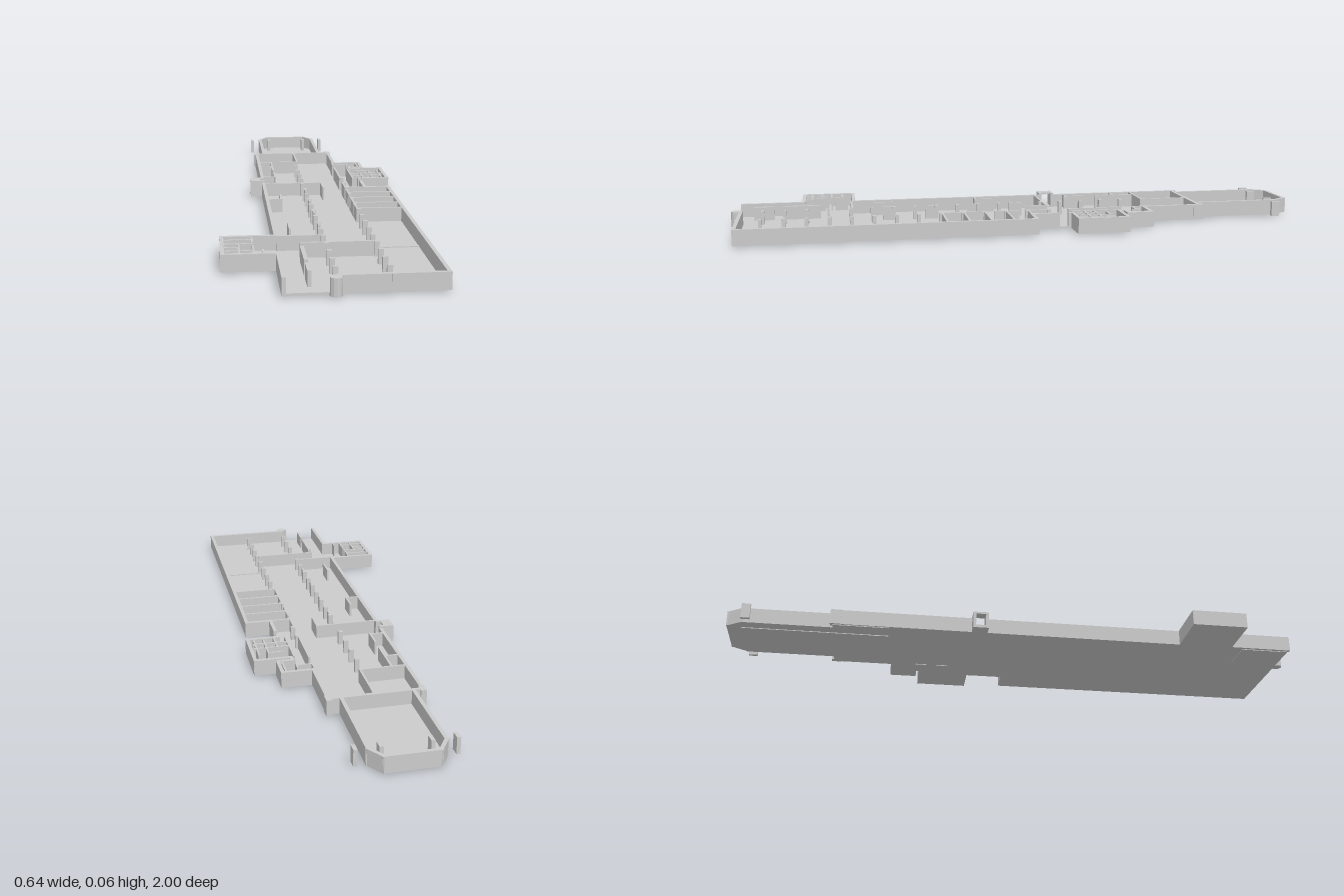
import * as THREE from 'three';

const FLOOR = 0.01, TOP = 0.057, BASE = 0.004, T = 0.012;

export function createModel() {
  const model = new THREE.Group();
  const mat = new THREE.MeshStandardMaterial({ color: 0xcccccc, flatShading: true, side: THREE.DoubleSide });

  const group = (name) => {
    const g = new THREE.Group();
    g.name = name;
    model.add(g);
    return g;
  };
  const box = (parent, name, x1, x2, y1, y2, z1, z2) => {
    const m = new THREE.Mesh(new THREE.BoxGeometry(x2 - x1, y2 - y1, z2 - z1), mat);
    m.position.set((x1 + x2) / 2, (y1 + y2) / 2, (z1 + z2) / 2);
    m.name = name;
    parent.add(m);
    return m;
  };
  // Upright wall whose centre line runs between two plan points
  const wall = (parent, name, x1, z1, x2, z2, t = T, top = TOP, bottom = BASE) => {
    const len = Math.hypot(x2 - x1, z2 - z1);
    const m = new THREE.Mesh(new THREE.BoxGeometry(len + t * 0.9, top - bottom, t), mat);
    m.position.set((x1 + x2) / 2, (top + bottom) / 2, (z1 + z2) / 2);
    m.rotation.y = -Math.atan2(z2 - z1, x2 - x1);
    m.name = name;
    parent.add(m);
  };
  const slab = (name, pts, y1, y2) => {
    const shape = new THREE.Shape(pts.map(([x, z]) => new THREE.Vector2(x, -z)));
    const geo = new THREE.ExtrudeGeometry(shape, { depth: y2 - y1, bevelEnabled: false });
    geo.rotateX(-Math.PI / 2).translate(0, y1, 0);
    const m = new THREE.Mesh(geo, mat);
    m.name = name;
    model.add(m);
  };

  // Floor plates
  slab('mainFloor', [
    [-0.16, -0.64], [0.15, -0.64], [0.15, -0.435], [0.25, -0.435], [0.25, -0.34], [0.19, -0.34],
    [0.19, -0.33], [0.32, -0.33], [0.32, -0.15], [0.215, -0.15], [0.215, -0.02], [0.3, -0.02],
    [0.3, 0.97], [-0.165, 0.97], [-0.165, 0.76], [-0.325, 0.76], [-0.325, 0.57], [-0.16, 0.57],
  ], BASE, FLOOR);
  slab('rearFloor', [
    [-0.13, -0.64], [-0.13, -0.945], [-0.095, -0.998], [0.075, -0.998], [0.11, -0.945], [0.11, -0.64],
  ], BASE, FLOOR);

  // Thin plates under the floor
  const plates = group('undersidePlates');
  for (const [x1, x2, z1, z2] of [[-0.09, 0.065, -0.95, -0.45], [0.135, 0.18, -0.345, -0.305],
    [0.135, 0.18, -0.27, -0.23], [-0.155, -0.1, -0.64, -0.45], [-0.155, -0.04, 0.8, 0.965]])
    box(plates, 'undersidePlate', x1, x2, 0.0015, BASE, z1, z2);
  box(plates, 'undersideStrip', -0.09, 0.065, 0, BASE, -0.5, -0.49);

  // Outer walls, each run as a polyline of centre points
  const outer = group('outerWalls');
  const runs = [
    [[-0.124, -0.64], [-0.124, -0.943], [-0.092, -0.992], [0.072, -0.992], [0.104, -0.943], [0.104, -0.64]],
    [[-0.154, 0.576], [-0.154, -0.115]],
    [[-0.154, -0.165], [-0.154, -0.635], [0.144, -0.635], [0.144, -0.429], [0.244, -0.429], [0.244, -0.346],
      [0.196, -0.346], [0.196, -0.324], [0.314, -0.324], [0.314, -0.156], [0.209, -0.156], [0.209, -0.145]],
    [[0.209, -0.105], [0.209, -0.014], [0.294, -0.014], [0.294, 0.964], [-0.01, 0.964]],
    [[-0.159, 0.97], [-0.159, 0.754], [-0.319, 0.754], [-0.319, 0.576], [-0.154, 0.576]],
  ];
  for (const run of runs)
    for (let i = 1; i < run.length; i++) wall(outer, 'outerWall', ...run[i - 1], ...run[i]);
  for (const x of [-0.154, 0.144]) box(outer, 'cornerStub', x - 0.009, x + 0.009, BASE, TOP, -0.65, -0.615);

  // Entrance beside the open front corner
  const entry = group('entrance');
  const drum = new THREE.Mesh(new THREE.CylinderGeometry(0.018, 0.018, TOP - BASE, 12), mat);
  drum.position.set(-0.018, (TOP + BASE) / 2, 0.98);
  drum.name = 'entranceDrum';
  entry.add(drum);
  wall(entry, 'entranceWall', -0.085, 0.7, -0.085, 0.82);
  wall(entry, 'entranceWall', -0.085, 0.86, -0.085, 0.92);

  // Raised open passage on the right side
  const passage = group('sidePassage');
  for (const z of [-0.162, -0.118]) box(passage, 'passageSide', -0.2, -0.148, BASE, 0.063, z - 0.005, z + 0.005);
  box(passage, 'passageRoof', -0.2, -0.165, 0.056, 0.063, -0.167, -0.113);
  box(passage, 'passageFloor', -0.2, -0.15, BASE, 0.014, -0.167, -0.113);

  // Interior partitions: x1, z1, x2, z2
  const inner = group('partitions');
  const partitions = [
    [-0.15, -0.465, 0, -0.465], [0, -0.63, 0, -0.465],
    [-0.105, -0.46, -0.105, -0.32], [-0.105, -0.27, -0.105, -0.2], [-0.15, -0.385, -0.105, -0.385],
    [-0.15, -0.205, -0.105, -0.205],
    [-0.15, -0.095, 0.058, -0.095], [0.058, -0.095, 0.058, -0.02],
    [-0.15, 0.135, -0.105, 0.135], [-0.105, 0.07, -0.105, 0.135],
    [-0.105, 0.44, -0.105, 0.51], [-0.15, 0.585, -0.02, 0.585], [-0.085, 0.66, 0.135, 0.66],
    [0.138, -0.43, 0.138, -0.39], [0.138, -0.34, 0.138, -0.16],
    [0.138, -0.09, 0.138, -0.01], [0.138, 0.02, 0.138, 0.1], [0.138, 0.13, 0.138, 0.28],
    [0.138, -0.014, 0.21, -0.014],
  ];
  for (const z of [0.062, 0.137, 0.21, 0.284]) partitions.push([0.138, z, 0.29, z]);
  for (const p of partitions) wall(inner, 'partition', ...p, 0.007);
  box(inner, 'floorSill', 0.14, 0.288, FLOOR, 0.013, 0.58, 0.588);

  // Two rows of columns, with short panels beside some of them
  const columns = group('columns');
  for (let i = 0; i < 19; i++) {
    const z = -0.387 + i * 0.0752;
    box(columns, 'column', -0.018, -0.002, FLOOR, TOP, z - 0.006, z + 0.006);
    if (i > 2) box(columns, 'column', 0.134, 0.15, FLOOR, TOP, z - 0.006, z + 0.006);
    if (i > 4 && i < 12 && i % 2) wall(columns, 'columnPanel', -0.01, z, -0.01, z + 0.035, 0.007);
  }

  // Small rooms and stair cores in the annexes
  const annex = group('annexRooms');
  for (const p of [
    [0.185, -0.235, 0.31, -0.235], [0.185, -0.2, 0.3, -0.2], [0.262, -0.275, 0.262, -0.17],
    [0.295, -0.28, 0.295, -0.16], [0.215, -0.275, 0.262, -0.275], [0.225, -0.235, 0.225, -0.165],
    [0.185, -0.32, 0.185, -0.16],
    [0.145, -0.388, 0.19, -0.388], [0.19, -0.4, 0.19, -0.375], [0.232, -0.42, 0.232, -0.36],
    [-0.31, 0.615, -0.228, 0.615], [-0.31, 0.655, -0.228, 0.655], [-0.31, 0.725, -0.228, 0.725],
    [-0.228, 0.6, -0.228, 0.64], [-0.228, 0.68, -0.228, 0.745], [-0.27, 0.655, -0.27, 0.745],
    [-0.2, 0.72, -0.2, 0.75], [-0.31, 0.69, -0.27, 0.69],
  ]) wall(annex, 'annexWall', ...p, 0.006);

  // Posts around the rear platform
  const posts = group('rearPosts');
  for (const x of [-0.16, -0.085, 0.065, 0.14])
    box(posts, 'rearPost', x - 0.006, x + 0.006, BASE, TOP, -0.945, -0.915);

  return model;
}
